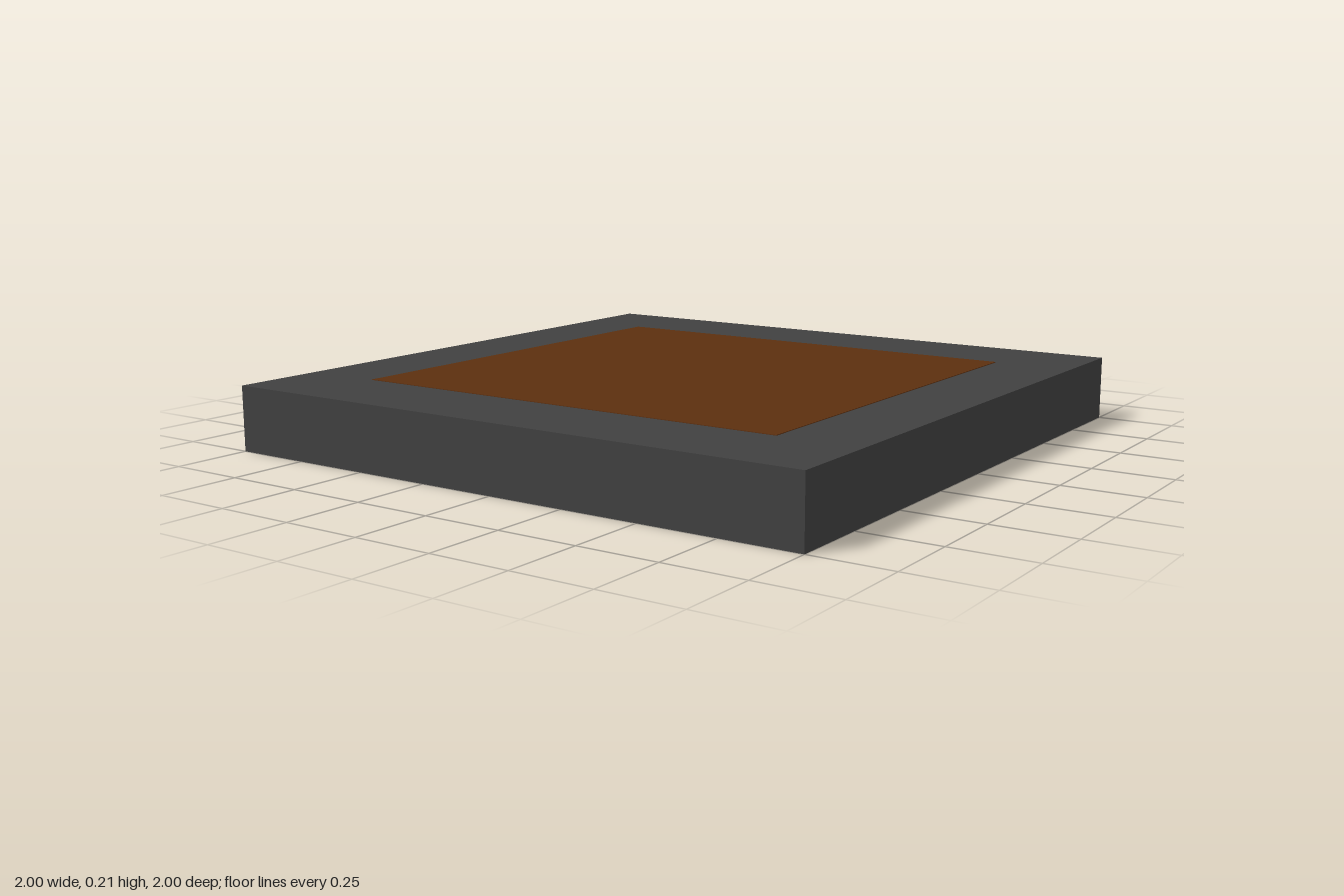
import * as THREE from 'three';

export function createModel() {
  const group = new THREE.Group();
  const darkGrey = new THREE.MeshStandardMaterial({ color: 0x404040 });
  darkGrey.name = 'darkGrey';
  const brown = new THREE.MeshStandardMaterial({ color: 0x5c2f0f });
  brown.name = 'brown';

  const height = 0.207;

  // Square slab
  const slab = new THREE.Mesh(new THREE.BoxGeometry(2, height, 2), darkGrey);
  slab.name = 'slab';
  slab.position.y = height / 2;
  group.add(slab);

  // Thin panel on the top face
  const panel = new THREE.Mesh(new THREE.BoxGeometry(1.48, 0.002, 1.41), brown);
  panel.name = 'topPanel';
  panel.position.y = height + 0.001;
  group.add(panel);

  return group;
}
